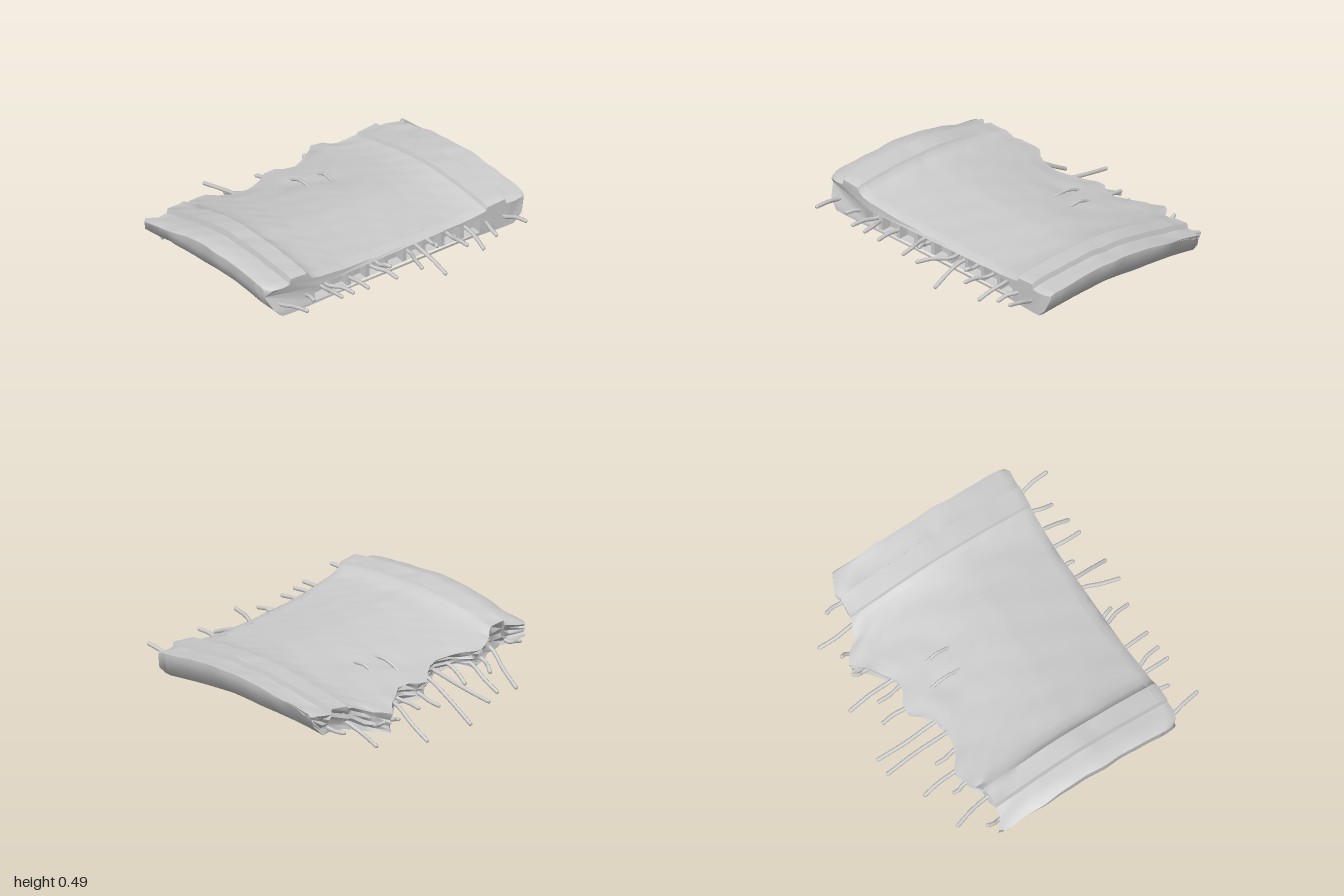
import * as THREE from 'three';
import { toCreasedNormals } from 'three/addons/utils/BufferGeometryUtils.js';

// Piecewise linear curve through [input, output] pairs
function curve(pts) {
  return (v) => {
    if (v <= pts[0][0]) return pts[0][1];
    for (let i = 1; i < pts.length; i++) {
      const [a, p] = pts[i - 1], [b, q] = pts[i];
      if (v <= b) return p + (q - p) * (v - a) / (b - a);
    }
    return pts[pts.length - 1][1];
  };
}

// Cross-section: deck dished between two raised kerbs and outer ledges
const topPts = [[-1, 0.44], [-0.97, 0.455], [-0.845, 0.46], [-0.835, 0.498], [-0.71, 0.492], [-0.7, 0.468], [-0.66, 0.444],
  [-0.6, 0.428], [-0.4, 0.405], [-0.2, 0.392], [0, 0.385], [0.2, 0.382], [0.4, 0.38], [0.55, 0.387],
  [0.65, 0.402], [0.695, 0.415], [0.705, 0.438], [0.835, 0.448], [0.845, 0.415], [0.9, 0.415], [0.97, 0.425], [1, 0.425]];
// Broken rear edge
const backPts = [[-1, -0.55], [-0.97, -0.58], [-0.9, -0.53], [-0.83, -0.52], [-0.75, -0.52], [-0.7, -0.53],
  [-0.62, -0.58], [-0.53, -0.61], [-0.48, -0.6], [-0.42, -0.55], [-0.35, -0.52], [-0.23, -0.505],
  [-0.15, -0.53], [-0.05, -0.59], [0, -0.64], [0.07, -0.63], [0.12, -0.59], [0.2, -0.58], [0.28, -0.63],
  [0.38, -0.69], [0.46, -0.77], [0.52, -0.73], [0.58, -0.66], [0.66, -0.62], [0.72, -0.61], [0.9, -0.6], [1, -0.555]];
const topY = curve(topPts);
const backZ = curve(backPts);
const frontZ = curve([[-1, 0.66], [-0.96, 0.725], [-0.6, 0.715], [-0.2, 0.69], [0.2, 0.68], [0.5, 0.685], [0.97, 0.71], [1, 0.69]]);
// Underside outline, with a bevelled flank at each side
const flankY = curve([[-1, 0.375], [-0.97, 0.3], [-0.9, 0.237], [-0.83, 0.233], [0.84, 0.233], [0.9, 0.237], [0.97, 0.3], [1, 0.385]]);
const bottomY = (x) => flankY(x) + 0.005 * x * x;
// Sag along the length, and how far the underside is broken away at the back
const sag = curve([[-0.77, -0.155], [-0.6, -0.118], [-0.5, -0.1], [-0.35, -0.069], [-0.2, -0.04],
  [0, -0.012], [0.15, 0], [0.4, -0.01], [0.72, -0.035]]);
const lift = curve([[-1, 0.045], [-0.75, 0.055], [-0.5, 0.068], [-0.25, 0.05], [0, 0.04], [0.2, 0.01],
  [0.45, 0], [0.6, 0.005], [0.75, 0.035], [1, 0.045]]);
// Shallow dents in the deck: x, z, radius, depth
const dents = [[0, -0.36, 0.07, 0.02], [0.22, -0.22, 0.09, 0.015], [-0.8, 0.2, 0.06, 0.015],
  [-0.62, 0.2, 0.08, 0.01], [0.86, 0.1, 0.07, 0.015], [0.92, -0.4, 0.08, 0.012]];
const wobble = (a, b) => Math.sin(a * 23 + b * 11) * 0.6 + Math.sin(a * 41 - b * 37 + 1) * 0.4;
const xs = [...new Set([...topPts, ...backPts].map((p) => p[0]))].sort((a, b) => a - b);

// Bend a section point between the broken edge (s = 0) and the front edge (s = 1)
function bend(x, y, s) {
  const upper = y > topY(x) - 0.001, lower = y < 0.245;
  let z = THREE.MathUtils.lerp(backZ(x), frontZ(x), s);
  if (s === 0 && lower) z += 0.02 + 0.015 * wobble(x, y);
  if (s > 0.999) y += upper ? -0.012 : lower ? 0.006 : 0;
  if (upper) {
    for (const [dx, dz, r, d] of dents) y -= d * Math.exp(-((x - dx) ** 2 + (z - dz) ** 2) / (r * r));
    y += 0.003 * wobble(x, z);
    // Left kerb and ledge drop towards the break
    if (x < -0.7) y -= 0.022 * THREE.MathUtils.smoothstep(-z, 0, 0.5);
    if (s < 0.06) y += 0.008 * wobble(x * 2, 0.3) - 0.006;
  } else {
    y += lift(x) * THREE.MathUtils.smoothstep(0.45 - s, 0, 0.42);
  }
  if (Math.abs(x) > 0.93) x -= Math.sign(x) * 0.012 * (0.5 + 0.5 * wobble(z * 0.7, 0.2));
  return new THREE.Vector3(x, y + sag(z), z);
}

// Closed outline of the section: top left to right, underside back again
const ring = [...xs.map((x) => [x, topY(x)]), ...[...xs].reverse().map((x) => [x, bottomY(x)])];

// Main body: skin between section loops, a pocket backing at the front, a ragged face at the break
function slabBody(sEnd, material) {
  const pos = [], index = [];
  const addGrid = (rows) => {
    const base = pos.length / 3, n = rows[0].length;
    rows.forEach((row) => row.forEach((p) => pos.push(p.x, p.y, p.z)));
    for (let j = 0; j < rows.length - 1; j++) {
      for (let i = 0; i < n - 1; i++) {
        const a = base + j * n + i, d = a + n;
        index.push(a, d, d + 1, a, d + 1, a + 1);
      }
    }
  };
  const steps = 28, loop = [...ring, ring[0]];
  addGrid(Array.from({ length: steps + 1 }, (_, j) => loop.map(([x, y]) => bend(x, y, sEnd * j / steps))));
  addGrid([0, 1].map((t) => xs.map((x) => bend(x, t ? bottomY(x) : topY(x), sEnd))));
  const layers = 6;
  addGrid(Array.from({ length: layers + 1 }, (_, j) => xs.map((x) => {
    const t = 1 - j / layers;
    const p = bend(x, topY(x), 0).lerp(bend(x, bottomY(x), 0), t);
    if (j > 0 && j < layers) {
      p.z += 0.015 + 0.018 * wobble(x * 1.2, t * 2);
      p.y += 0.006 * wobble(x * 1.6, t * 2);
    }
    return p;
  })));
  const geo = new THREE.BufferGeometry();
  geo.setAttribute('position', new THREE.Float32BufferAttribute(pos, 3));
  geo.setIndex(index);
  const mesh = new THREE.Mesh(toCreasedNormals(geo, 0.7), material);
  mesh.name = 'slabBody';
  return mesh;
}

// Front band of the slab, pierced by a row of pockets
function frontBand(sStart, material) {
  const shape = new THREE.Shape([...ring].reverse().map((p) => new THREE.Vector2(...p)));
  for (let i = 0; i < 9; i++) {
    const x = -0.645 + i * 0.147, w = 0.118;
    shape.holes.push(new THREE.Path([[x, 0.262], [x, 0.359], [x + w, 0.359], [x + w, 0.262]]
      .map((p) => new THREE.Vector2(...p))));
  }
  const geo = new THREE.ExtrudeGeometry(shape, { depth: 1, steps: 2, bevelEnabled: false });
  const pos = geo.attributes.position;
  for (let i = 0; i < pos.count; i++) {
    const p = bend(pos.getX(i), pos.getY(i), sStart + (1 - sStart) * pos.getZ(i));
    pos.setXYZ(i, p.x, p.y, p.z);
  }
  const mesh = new THREE.Mesh(toCreasedNormals(geo, 0.7), material);
  mesh.name = 'frontPockets';
  return mesh;
}

function bar(name, points, radius, material) {
  const path = new THREE.CatmullRomCurve3(points.map((p) => new THREE.Vector3(...p)));
  const group = new THREE.Group();
  group.name = name;
  group.add(new THREE.Mesh(new THREE.TubeGeometry(path, 10, radius, 7), material));
  // Rounded ends
  for (const p of [points[0], points[points.length - 1]]) {
    const cap = new THREE.Mesh(new THREE.SphereGeometry(radius, 7, 5), material);
    cap.position.set(...p);
    group.add(cap);
  }
  return group;
}

export function createModel() {
  const model = new THREE.Group();
  model.name = 'brokenBridgeSlab';
  const mat = new THREE.MeshStandardMaterial({ color: 0xcccccc });
  model.add(slabBody(0.95, mat), frontBand(0.95, mat));

  // Reinforcing bars out of the front: x, end x, end z, end y
  const frontBars = [[-0.89, -0.86, 0.92, 0.33], [-0.71, -0.72, 0.8, 0.3], [-0.56, -0.57, 0.89, 0.31],
    [-0.53, -0.475, 0.88, 0.3], [-0.36, -0.355, 0.875, 0.29], [-0.18, -0.135, 0.875, 0.28], [-0.12, -0.105, 0.77, 0.3],
    [0.1, 0.03, 0.915, 0.31], [0.19, 0.205, 0.925, 0.21], [0.28, 0.28, 0.74, 0.29], [0.43, 0.415, 0.87, 0.31],
    [0.55, 0.54, 0.87, 0.24], [0.7, 0.67, 0.83, 0.27], [0.82, 0.845, 0.9, 0.34]];
  frontBars.forEach(([x, ex, ez, ey], i) => {
    const side = i % 2 ? 0.006 : -0.006;
    model.add(bar('frontBar', [[x, 0.29, 0.6], [x + side, 0.285, 0.7],
      [x * 0.35 + ex * 0.65 + side, (0.3 + ey) / 2, (0.7 + ez) / 2], [ex, ey, ez]], 0.013, mat));
  });

  // Reinforcing bars hanging out of the broken edge: x, end x, end z, end y
  const backBars = [[-0.88, -0.885, -0.61, 0.24], [-0.72, -0.72, -0.725, 0.014], [-0.57, -0.565, -0.65, 0.145],
    [-0.47, -0.465, -0.8, 0.085], [-0.35, -0.345, -0.64, 0.135], [-0.23, -0.24, -0.93, 0.13],
    [-0.13, -0.095, -0.91, 0.02], [0.05, 0.05, -0.78, 0.15], [0.19, 0.18, -0.73, 0.16], [0.25, 0.268, -0.88, 0.014],
    [0.4, 0.41, -0.77, 0.17], [0.54, 0.54, -0.77, 0.19], [0.685, 0.69, -0.84, 0.1], [0.84, 0.83, -0.7, 0.19]];
  backBars.forEach(([x, ex, ez, ey], i) => {
    const z = backZ(x), y = 0.3 + sag(z) + lift(x) / 2, side = i % 2 ? 0.008 : -0.008;
    model.add(bar('backBar', [[x, y + 0.01, z + 0.1], [x, y - 0.01, z],
      [(x + ex) / 2 + side, (y + ey) / 2 - 0.005, (z + ez) / 2], [ex, ey, ez]], 0.013, mat));
  });

  // Bars exposed in the worn deck
  for (const [x, z0, z1] of [[0.042, -0.45, -0.23], [0.2, -0.38, -0.22]]) {
    const h = (z, up) => topY(x) + sag(z) + up;
    const zm = (z0 + z1) / 2;
    model.add(bar('deckBar', [[x, h(z0, -0.01), z0], [x + 0.004, h(zm, 0.012), zm], [x, h(z1, -0.01), z1]], 0.01, mat));
  }
  return model;
}
